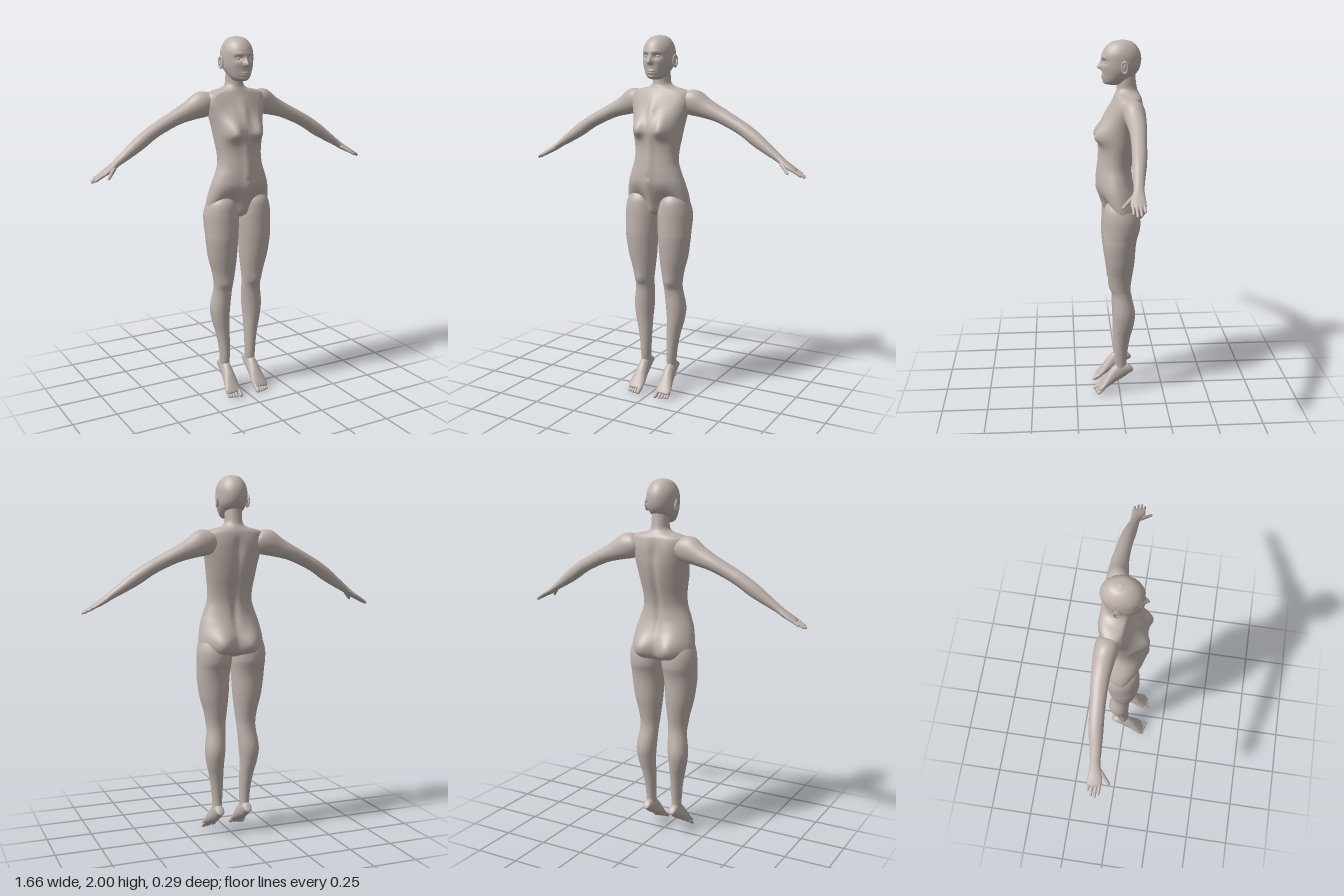
import * as THREE from 'three';

const V = (x, y, z) => new THREE.Vector3(x, y, z);
const X = V(1, 0, 0), Z = V(0, 0, 1);
const bell = (d, w) => Math.exp(-(d * d) / (w * w));
const ramp = (a, b, t) => THREE.MathUtils.smoothstep(t, a, b);

// Smooth tube through rows [x, y, z, radiusU, radiusV]; shape(p) may move each vertex.
function loft(rows, u, v, n, steps, shape) {
  const mid = new THREE.CatmullRomCurve3(rows.map(r => V(r[0], r[1], r[2])), false, 'catmullrom', 0.5);
  const rad = new THREE.CatmullRomCurve3(rows.map(r => V(r[3], r[4], 0)), false, 'catmullrom', 0.5);
  const m = (rows.length - 1) * steps, pos = [], index = [];
  const put = p => { if (shape) shape(p); pos.push(p.x, p.y, p.z); };
  for (let i = 0; i <= m; i++) {
    const c = mid.getPoint(i / m), r = rad.getPoint(i / m);
    for (let j = 0; j < n; j++) {
      const t = j / n * Math.PI * 2;
      put(c.clone().addScaledVector(u, Math.max(r.x, 0.001) * Math.cos(t))
        .addScaledVector(v, Math.max(r.y, 0.001) * Math.sin(t)));
    }
  }
  put(mid.getPoint(0));
  put(mid.getPoint(1));
  const along = mid.getPoint(1).sub(mid.getPoint(0));
  const flip = u.clone().cross(v).dot(along) < 0;
  const tri = (a, b, c) => flip ? index.push(a, c, b) : index.push(a, b, c);
  const first = n * (m + 1);
  for (let j = 0; j < n; j++) {
    const k = (j + 1) % n;
    for (let i = 0; i < m; i++) {
      const a = i * n + j, b = i * n + k;
      tri(a, b, a + n);
      tri(b, b + n, a + n);
    }
    tri(first, k, j);
    tri(first + 1, m * n + j, m * n + k);
  }
  const g = new THREE.BufferGeometry();
  g.setAttribute('position', new THREE.Float32BufferAttribute(pos, 3));
  g.setIndex(index);
  g.computeVertexNormals();
  return g;
}

// Upright rows [x, y, front z, back z, half width]
const upright = rows => rows.map(([x, y, f, b, w]) => [x, y, (f + b) / 2, w, (f - b) / 2]);

// Tapered, round-ended finger or toe from a to b
function digit(a, b, r, taper = 0.75) {
  const d = b.clone().sub(a), len = d.length();
  const g = new THREE.CapsuleGeometry(r, len, 5, 12, 4), p = g.attributes.position;
  for (let i = 0; i < p.count; i++) {
    const k = THREE.MathUtils.lerp(1, taper, THREE.MathUtils.clamp(p.getY(i) / len + 0.5, 0, 1));
    p.setX(i, p.getX(i) * k);
    p.setZ(i, p.getZ(i) * k);
  }
  g.applyQuaternion(new THREE.Quaternion().setFromUnitVectors(V(0, 1, 0), d.normalize()));
  g.translate((a.x + b.x) / 2, (a.y + b.y) / 2, (a.z + b.z) / 2);
  g.computeVertexNormals();
  return g;
}

function mirrored(geo) {
  const g = geo.clone().scale(-1, 1, 1), ix = g.index.array;
  for (let i = 0; i < ix.length; i += 3) [ix[i + 1], ix[i + 2]] = [ix[i + 2], ix[i + 1]];
  g.computeVertexNormals();
  return g;
}

// Chest, spine, navel and hip forms
function torsoShape(p) {
  const ax = Math.abs(p.x);
  const front = ramp(0, 0.06, p.z), back = ramp(0.01, -0.05, p.z) || 1 - ramp(-0.05, 0.01, p.z);
  const bust = bell(ax - 0.072, 0.046) * bell(p.y - 1.497, p.y < 1.497 ? 0.04 : 0.075);
  const hip = bell(ax - 0.085, 0.066) * bell(p.y - 1.09, 0.078);
  const spine = bell(p.x, 0.022) * ramp(1.14, 1.24, p.y) * (1 - ramp(1.6, 1.7, p.y));
  const blade = bell(ax - 0.085, 0.05) * bell(p.y - 1.62, 0.08);
  const navel = bell(p.x, 0.008) * bell(p.y - 1.245, 0.012);
  p.z += front * (0.046 * bust - 0.007 * navel - 0.004 * bell(p.x, 0.015) * bell(p.y - 1.42, 0.15));
  p.z += back * (0.012 * spine - 0.05 * hip - 0.008 * blade);
}

// Brow, eye sockets, nose, lips and chin
function faceShape(p) {
  const ax = Math.abs(p.x), y = p.y, f = ramp(0.02, 0.06, p.z);
  const nose = bell(p.x, y < 1.868 ? 0.013 : 0.01) * bell(y - 1.856, y > 1.856 ? 0.03 : 0.009);
  const socket = bell(ax - 0.032, 0.019) * bell(y - 1.889, 0.013);
  const brow = bell(ax - 0.03, 0.025) * bell(y - 1.912, 0.009);
  const lips = bell(p.x, 0.02) * (bell(y - 1.813, 0.005) + bell(y - 1.801, 0.0055));
  const cheek = bell(ax - 0.045, 0.02) * bell(y - 1.858, 0.018);
  const chin = bell(p.x, 0.02) * bell(y - 1.78, 0.011);
  p.z += f * (0.024 * nose - 0.012 * socket + 0.004 * brow + 0.006 * lips + 0.003 * cheek + 0.006 * chin);
}

function kneeShape(p) {
  if (p.z > 0) p.z += 0.008 * bell(p.x - 0.09, 0.03) * bell(p.y - 0.655, 0.035);
}

export function createModel() {
  const model = new THREE.Group();
  model.name = 'figure';
  const skin = new THREE.MeshStandardMaterial({ color: 0xbfb3ad });
  skin.name = 'warm grey';
  const add = (name, geo) => {
    const m = new THREE.Mesh(geo, skin);
    m.name = name;
    model.add(m);
  };
  const pair = (name, geo) => {
    add('left' + name, geo);
    add('right' + name, mirrored(geo));
  };

  // Torso with neck
  add('torso', loft(upright([
    [0, 1.85, 0.005, -0.085, 0.044], [0, 1.79, 0.01, -0.09, 0.047], [0, 1.745, 0.012, -0.097, 0.051],
    [0, 1.724, 0.018, -0.107, 0.08], [0, 1.713, 0.022, -0.113, 0.13], [0, 1.695, 0.03, -0.12, 0.17],
    [0, 1.655, 0.05, -0.125, 0.178], [0, 1.6, 0.075, -0.126, 0.164], [0, 1.55, 0.092, -0.125, 0.152],
    [0, 1.5, 0.102, -0.117, 0.143], [0, 1.45, 0.105, -0.104, 0.136], [0, 1.38, 0.106, -0.083, 0.127],
    [0, 1.32, 0.112, -0.072, 0.13], [0, 1.26, 0.117, -0.076, 0.15], [0, 1.2, 0.118, -0.09, 0.17],
    [0, 1.12, 0.105, -0.104, 0.185], [0, 1.06, 0.082, -0.098, 0.178], [0, 1.035, 0.055, -0.075, 0.13],
    [0, 1.02, 0.02, -0.04, 0.04],
  ]), X, Z, 96, 6, torsoShape));

  // Head
  add('head', loft(upright([
    [0, 2, -0.018, -0.022, 0.002], [0, 1.99, 0.033, -0.066, 0.04], [0, 1.965, 0.068, -0.096, 0.065],
    [0, 1.93, 0.088, -0.114, 0.08], [0, 1.89, 0.092, -0.118, 0.083], [0, 1.85, 0.09, -0.108, 0.08],
    [0, 1.82, 0.088, -0.085, 0.07], [0, 1.79, 0.083, -0.045, 0.054], [0, 1.773, 0.073, -0.02, 0.037],
    [0, 1.766, 0.05, 0, 0.015],
  ]), X, Z, 160, 11, faceShape));
  const ball = (x, y, z, a, b, c) => new THREE.SphereGeometry(1, 20, 14).scale(a, b, c).translate(x, y, z);
  pair('Eye', ball(0.032, 1.888, 0.065, 0.015, 0.01, 0.012));
  pair('Ear', ball(0.083, 1.862, -0.024, 0.007, 0.028, 0.016));
  pair('EarRim', new THREE.TorusGeometry(0.016, 0.0045, 8, 24).scale(1, 1.75, 1)
    .rotateY(Math.PI / 2 - 0.25).translate(0.089, 1.864, -0.025));

  // Arm and palm, then fingers
  pair('Arm', loft([
    [0.11, 1.665, -0.055, 0.03, 0.04], [0.135, 1.66, -0.06, 0.058, 0.055], [0.18, 1.643, -0.065, 0.072, 0.06],
    [0.25, 1.613, -0.072, 0.055, 0.052], [0.33, 1.582, -0.075, 0.042, 0.045], [0.42, 1.54, -0.071, 0.037, 0.039],
    [0.48, 1.508, -0.068, 0.036, 0.038], [0.55, 1.462, -0.062, 0.036, 0.036], [0.62, 1.415, -0.054, 0.028, 0.03],
    [0.68, 1.376, -0.048, 0.02, 0.026], [0.715, 1.352, -0.043, 0.017, 0.032], [0.75, 1.332, -0.04, 0.014, 0.037],
    [0.775, 1.318, -0.04, 0.01, 0.035], [0.785, 1.312, -0.04, 0.003, 0.025],
  ], V(0.5, 0.866, 0), Z, 40, 6));
  [[-0.068, 0.798, 0], [-0.05, 0.819, 1], [-0.031, 0.824, 2], [-0.013, 0.81, 3]].forEach(([z, x, i]) =>
    pair('Finger' + (i + 1), digit(V(0.765, 1.324, z * 0.93 - 0.001), V(x, 1.324 - (x - 0.765) * 0.58, z), 0.0088)));
  pair('Thumb', digit(V(0.708, 1.35, -0.022), V(0.755, 1.314, 0.028), 0.0125, 0.6));

  // Leg
  pair('Leg', loft(upright([
    [0.1, 1.17, 0.04, -0.04, 0.04], [0.1, 1.12, 0.08, -0.085, 0.077], [0.1, 1.06, 0.09, -0.108, 0.095],
    [0.1, 1, 0.092, -0.11, 0.097], [0.101, 0.95, 0.093, -0.096, 0.094], [0.102, 0.9, 0.092, -0.087, 0.091],
    [0.098, 0.8, 0.081, -0.08, 0.081], [0.092, 0.72, 0.068, -0.069, 0.066], [0.09, 0.65, 0.053, -0.06, 0.056],
    [0.091, 0.6, 0.038, -0.064, 0.054], [0.101, 0.5, 0.035, -0.085, 0.057], [0.1, 0.42, 0.032, -0.077, 0.049],
    [0.092, 0.35, 0.03, -0.06, 0.04], [0.086, 0.28, 0.03, -0.048, 0.033], [0.083, 0.2, 0.029, -0.04, 0.028],
    [0.083, 0.14, 0.02, -0.04, 0.026],
  ]), X, Z, 56, 6, kneeShape));

  // Pointed foot and toes
  pair('Foot', loft([
    [0.083, 0.148, -0.072, 0.006, 0.008], [0.083, 0.15, -0.062, 0.021, 0.026], [0.083, 0.148, -0.035, 0.027, 0.038],
    [0.083, 0.13, 0, 0.03, 0.046], [0.084, 0.094, 0.045, 0.036, 0.037], [0.086, 0.06, 0.08, 0.043, 0.025],
    [0.088, 0.037, 0.105, 0.045, 0.016], [0.088, 0.025, 0.12, 0.038, 0.009],
  ], X, V(0, 0.82, 0.57), 40, 6));
  [0.056, 0.078, 0.094, 0.109, 0.122].forEach((x, i) => {
    const r = i ? 0.0085 : 0.0125;
    pair('Toe' + (i + 1), digit(V(x, 0.032, 0.108 - i * 0.003), V(x, r, 0.139 - i * 0.004), r, 0.9));
  });
  return model;
}
